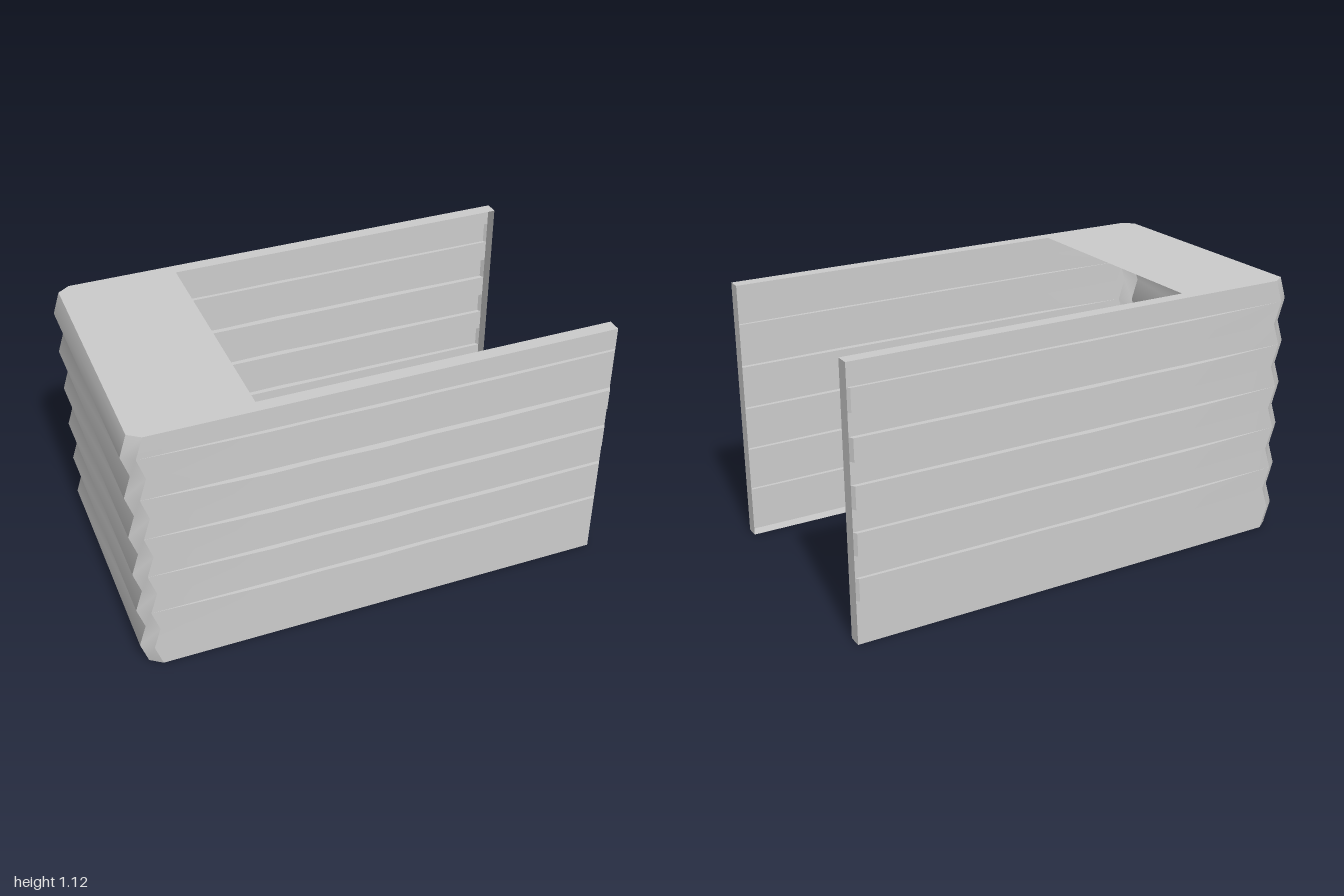
import * as THREE from 'three';
import { toCreasedNormals } from 'three/addons/utils/BufferGeometryUtils.js';

const H = 1.116, LEVELS = 12, STEP = H / LEVELS;
const WALL_Z = 0.556, INNER_Z = 0.5, END_Z = 0.52, LIP_X = -0.48;
const zig = (level) => (level % 2 ? -0.03 : 0);
const material = new THREE.MeshStandardMaterial({ color: 0xcccccc, side: THREE.DoubleSide });

// Sheet through a grid of points, columns running to the right seen from outside
function sheet(cols, rows, point) {
  const positions = [], index = [];
  for (let r = 0; r < rows; r++) for (let c = 0; c < cols; c++) positions.push(...point(c, r));
  for (let r = 0; r < rows - 1; r++) for (let c = 0; c < cols - 1; c++) {
    const a = r * cols + c, b = a + 1, d = a + cols, e = d + 1;
    index.push(a, b, e, a, e, d);
  }
  const geometry = new THREE.BufferGeometry();
  geometry.setAttribute('position', new THREE.Float32BufferAttribute(positions, 3));
  geometry.setIndex(index);
  return toCreasedNormals(geometry, 0.7);
}

function add(group, name, geometry) {
  const mesh = new THREE.Mesh(geometry, material);
  mesh.name = name;
  group.add(mesh);
  return mesh;
}

// Bulge of the raised boards along x, and its scale on each board
const boardX = [-0.92, -0.6, -0.45, -0.25, 0, 0.2, 0.48, 0.75, 0.99, 1];
const boardBulge = [0, 0.015, 0.02, 0.018, 0.024, 0.019, 0.021, 0.017, 0.014, 0];
const boardScale = [0.92, 1.04, 1.17, 1.29, 0.83];

// Wall rows: levels doubled where a board steps out or in
const wallRows = [{ level: 0, scale: 0 }, { level: 1, scale: 0 }];
boardScale.forEach((scale, k) => {
  const low = 2 * k + 2;
  wallRows.push({ level: low, scale: 0 }, { level: low, scale },
    { level: low + 1, scale }, { level: low + 1, scale: 0 });
});
wallRows.push({ level: LEVELS, scale: 0 });

function wallGeometry(side) {
  const n = boardX.length;
  return sheet(n, wallRows.length, (c, r) => {
    const i = side > 0 ? c : n - 1 - c;
    const { level, scale } = wallRows[r];
    const x = boardX[i] + (i === 0 ? zig(level) : 0);
    return [x, level * STEP, side * (WALL_Z + boardBulge[i] * scale)];
  });
}

// U-shaped rim closing the shell at top or bottom
function rimGeometry() {
  const outline = [
    [1, -WALL_Z], [1, -INNER_Z], [LIP_X, -INNER_Z], [LIP_X, INNER_Z], [1, INNER_Z], [1, WALL_Z],
    [-0.92, WALL_Z], [-0.97, END_Z], [-0.97, -END_Z], [-0.92, -WALL_Z],
  ];
  const shape = new THREE.Shape(outline.map(([x, z]) => new THREE.Vector2(x, -z)));
  return new THREE.ShapeGeometry(shape).rotateX(-Math.PI / 2);
}

export function createModel() {
  const group = new THREE.Group();
  group.name = 'corrugatedShell';

  for (const side of [1, -1]) {
    add(group, side > 0 ? 'frontWall' : 'backWall', wallGeometry(side));

    // Narrow return strip at the open end
    const strip = new THREE.PlaneGeometry(WALL_Z - INNER_Z, H).rotateY(Math.PI / 2);
    add(group, side > 0 ? 'frontJamb' : 'backJamb', strip)
      .position.set(1, H / 2, side * (WALL_Z + INNER_Z) / 2);
  }

  // Zigzag closed end with bevelled corners
  const endProfile = [[-0.92, -WALL_Z], [-0.97, -END_Z], [-0.97, END_Z], [-0.92, WALL_Z]];
  add(group, 'closedEnd', sheet(endProfile.length, LEVELS + 1, (c, r) =>
    [endProfile[c][0] + zig(r), r * STEP, endProfile[c][1]]));

  add(group, 'topRim', rimGeometry()).position.y = H;
  // Flipped about x so that it faces down
  add(group, 'bottomRim', rimGeometry().rotateX(Math.PI));

  return group;
}
